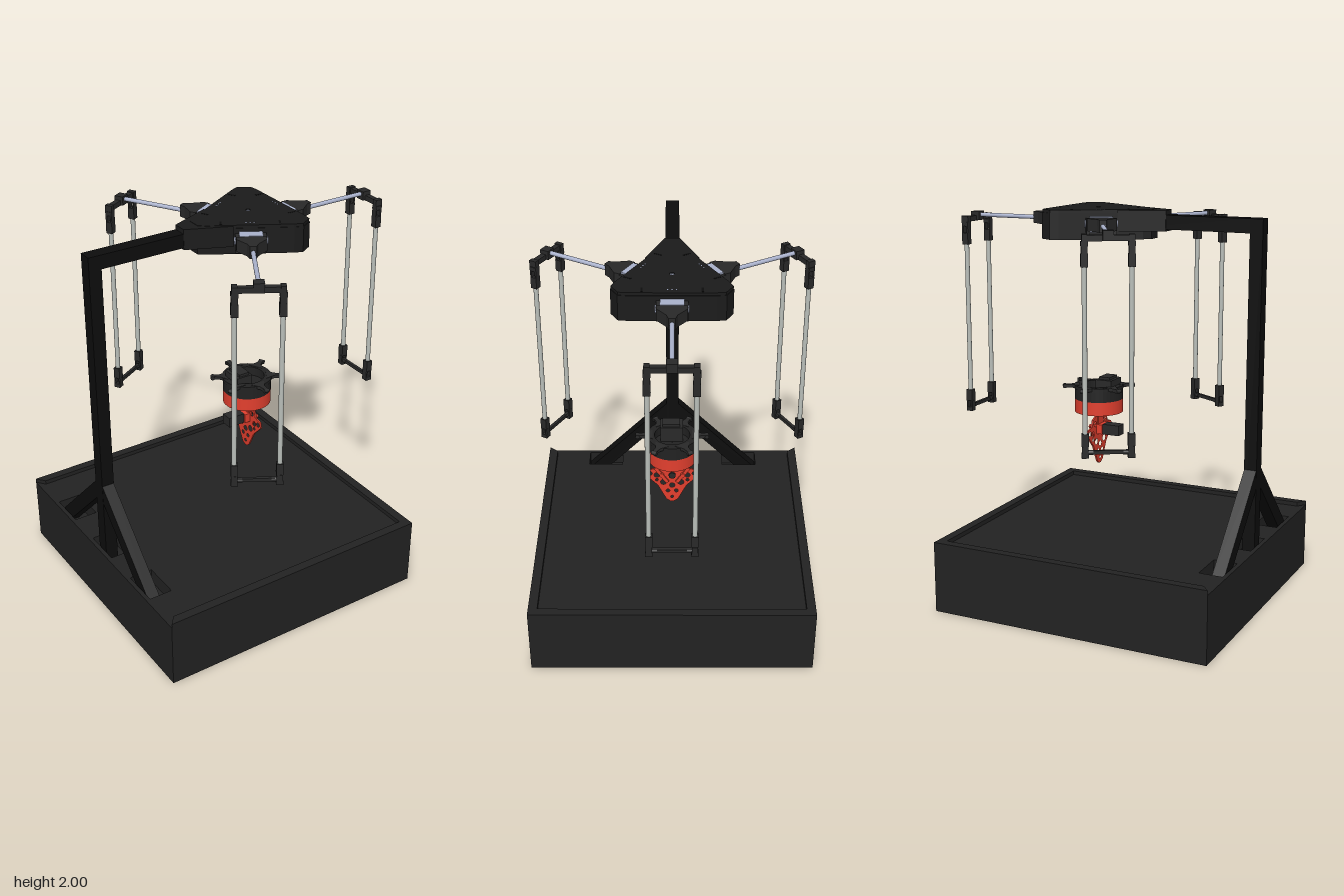
import * as THREE from 'three';

const mat = (color) => new THREE.MeshStandardMaterial({ color });
const M = {
  base: mat(0x222222), frame: mat(0x0d0d0d), hub: mat(0x1b1b1b), fitting: mat(0x292929),
  metal: mat(0xaab2cc), rod: mat(0xb9beb9), red: mat(0xe23f2e),
};
const CX = 0.085; // vertical axis of the robot

function add(parent, name, geo, material, x = 0, y = 0, z = 0) {
  const m = new THREE.Mesh(geo, material);
  m.name = name;
  m.position.set(x, y, z);
  parent.add(m);
  return m;
}
// box given by its limits
const box = (p, name, material, [x0, x1], [y0, y1], [z0, z1]) =>
  add(p, name, new THREE.BoxGeometry(x1 - x0, y1 - y0, z1 - z0), material,
    (x0 + x1) / 2, (y0 + y1) / 2, (z0 + z1) / 2);

const cyl = (p, name, material, r, h, x, y, z, axis = 'y', r2 = r, n = 20) => {
  const g = new THREE.CylinderGeometry(r2, r, h, n);
  if (axis === 'x') g.rotateZ(-Math.PI / 2);
  if (axis === 'z') g.rotateX(Math.PI / 2);
  return add(p, name, g, material, x, y, z);
};
const toShape = (pts) => new THREE.Shape(pts.map(([a, b]) => new THREE.Vector2(a, b)));
const circle = (a, b, r) => new THREE.Path().absarc(a, b, r, 0, Math.PI * 2, true);
const rect = (a0, a1, b0, b1) => [[a0, b0], [a1, b0], [a1, b1], [a0, b1]];

// horizontal slab from an outline in x / z
function slab(p, name, material, pts, y0, y1, holes = []) {
  const s = toShape(pts);
  s.holes.push(...holes);
  const g = new THREE.ExtrudeGeometry(s, { depth: y1 - y0, bevelEnabled: false, curveSegments: 10 });
  return add(p, name, g.rotateX(-Math.PI / 2), material, 0, y0, 0);
}

function makeBase() {
  const g = new THREE.Group();
  g.name = 'base';
  box(g, 'baseBlock', M.base, [-0.827, 0.645], [0, 0.27], [-0.732, 0.732]);
  // floor with three sockets for the frame legs
  const sockets = [[-0.49, -0.295], [-0.1, 0.1], [0.295, 0.49]]
    .map(([a, b]) => new THREE.Path(toShape(rect(-0.805, -0.685, a, b)).getPoints().reverse()));
  slab(g, 'baseFloor', M.base, rect(-0.827, 0.645, -0.732, 0.732), 0.27, 0.345, sockets);
  // rim on three sides
  slab(g, 'baseRim', M.base, [[-0.827, -0.732], [0.645, -0.732], [0.645, 0.732], [-0.827, 0.732],
    [-0.79, 0.685], [0.598, 0.685], [0.598, -0.685], [-0.79, -0.685]], 0.345, 0.367);
  return g;
}

function makeFrame() {
  const g = new THREE.Group();
  g.name = 'frame';
  box(g, 'post', M.frame, [-0.8, -0.735], [0.27, 1.975], [-0.035, 0.035]);
  box(g, 'topBeam', M.frame, [-0.735, -0.1], [1.905, 1.975], [-0.035, 0.035]);
  // diagonal braces, cut vertical at the post and at the foot
  for (const s of [-1, 1]) {
    const pts = [[0, 0.775], [0.49, 0.285], [0.46, 0.272], [0.4, 0.272], [0, 0.672]].map(([z, y]) => [s * z, y]);
    const geo = new THREE.ExtrudeGeometry(toShape(pts), { depth: 0.063, bevelEnabled: false });
    add(g, 'brace', geo.rotateY(Math.PI / 2), M.frame, -0.799, 0, 0);
  }
  return g;
}

function makeHub() {
  const g = new THREE.Group();
  g.name = 'hub';
  const pts = [];
  for (let k = 0; k < 3; k++) {
    const a = Math.PI / 3 + (k * Math.PI * 2) / 3;
    for (const [r, t] of [[0.275, -0.062], [0.31, -0.035], [0.31, 0.035], [0.275, 0.062]])
      pts.push([r * Math.cos(a) - t * Math.sin(a), r * Math.sin(a) + t * Math.cos(a)]);
  }
  slab(g, 'hubBody', M.hub, pts, 1.855, 1.985, [circle(0, 0, 0.04)]);
  slab(g, 'hubLid', M.hub, pts.map(([x, z]) => [x * 0.99, z * 0.99]), 1.985, 2, [circle(0, 0, 0.012)]);
  cyl(g, 'centreBolt', M.metal, 0.011, 0.006, 0, 1.993, 0);
  // tapered clamp that holds the beam
  slab(g, 'beamClamp', M.hub, [[-0.385, -0.036], [-0.17, -0.13], [-0.17, 0.13], [-0.385, 0.036]], 1.895, 1.998);
  // screw slots near each side
  for (let k = 0; k < 3; k++) {
    const side = new THREE.Group();
    side.name = 'lidSlots';
    side.rotation.y = (k * Math.PI * 2) / 3;
    for (const z of [-0.14, 0.14]) box(side, 'slot', M.frame, [0.14, 0.18], [1.995, 2.001], [z - 0.005, z + 0.005]);
    for (const z of [-0.02, 0, 0.02]) cyl(side, 'screw', M.metal, 0.004, 0.003, 0.16, 2, z, 'y', 0.004, 8);
    g.add(side);
  }
  return g;
}

// fork that joins a rod to a crossbar; up = 1 opens upward
function makeFork(x, y, z, up) {
  const g = new THREE.Group();
  g.name = 'fork';
  g.position.set(x, y, z);
  g.scale.y = 1;
  if (up < 0) g.rotation.x = Math.PI;
  box(g, 'forkSocket', M.fitting, [-0.017, 0.017], [-0.06, 0], [-0.017, 0.017]);
  for (const s of [-1, 1]) box(g, 'forkCheek', M.fitting, [s * 0.0135 - 0.004, s * 0.0135 + 0.004], [0, 0.055], [-0.015, 0.015]);
  box(g, 'forkTip', M.fitting, [-0.017, 0.017], [0.035, 0.056], [-0.017, 0.017]);
  return g;
}

function makeArm() {
  const g = new THREE.Group();
  g.name = 'arm';
  const R = 0.716;
  // servo and horn
  box(g, 'servo', M.metal, [0.19, 0.248], [1.895, 1.968], [-0.056, 0.056]);
  for (const s of [-1, 1]) {
    box(g, 'servoBracket', M.fitting, [0.17, 0.252], [1.885, 1.96], [s * 0.065 - 0.009, s * 0.065 + 0.009]);
    cyl(g, 'servoPivot', M.metal, 0.018, 0.008, 0.222, 1.935, s * 0.076, 'z');
  }
  slab(g, 'servoHorn', M.fitting, [[0.248, -0.072], [0.278, -0.072], [0.335, -0.026], [0.365, -0.016],
    [0.365, 0.016], [0.335, 0.026], [0.278, 0.072], [0.248, 0.072]], 1.905, 1.966);
  cyl(g, 'upperRod', M.metal, 0.011, 0.36, 0.53, 1.935, 0, 'x');
  // crossbar at the elbow
  box(g, 'elbowSocket', M.fitting, [0.69, 0.737], [1.907, 1.953], [-0.025, 0.025]);
  box(g, 'elbowBar', M.fitting, [0.704, 0.732], [1.905, 1.932], [-0.1, 0.1]);
  for (const s of [-1, 1]) {
    const z = s * 0.108;
    box(g, 'elbowEnd', M.fitting, [0.698, 0.736], [1.9, 1.936], [z - 0.013, z + 0.013]);
    // long parallel rods with a fork at each end
    cyl(g, 'lowerRod', M.rod, 0.012, 0.8, R, 1.4, z);
    g.add(makeFork(R, 1.848, z, 1), makeFork(R, 0.951, z, -1));
    cyl(g, 'lowerPin', M.fitting, 0.012, 0.03, R, 0.92, s * 0.085, 'z');
  }
  box(g, 'lowerBar', M.fitting, [R - 0.008, R + 0.008], [0.912, 0.93], [-0.1, 0.1]);
  return g;
}

function makeTool() {
  const g = new THREE.Group();
  g.name = 'tool';
  // hollow round housing: black on top, red below
  const ring = [[0.001, 1.04], [0.09, 1.04], [0.09, 1.088], [0.128, 1.088], [0.128, 1.07], [0.125, 1.07], [0.125, 1.015], [0.001, 1.015]];
  const lathe = new THREE.LatheGeometry(ring.map(([r, y]) => new THREE.Vector2(r, y)).reverse(), 40);
  add(g, 'housing', lathe.toNonIndexed(), new THREE.MeshStandardMaterial({ color: 0x222222, side: THREE.DoubleSide, flatShading: true }));
  cyl(g, 'redRing', M.red, 0.125, 0.07, 0, 0.98, 0, 'y', 0.125, 40);
  // six joint prongs around the plate
  for (let k = 0; k < 6; k++) {
    const p = new THREE.Group();
    p.name = 'prong';
    p.rotation.y = Math.PI / 6 + (k * Math.PI) / 3;
    slab(p, 'prongBar', M.fitting, [[0.1, -0.04], [0.14, -0.014], [0.18, -0.009], [0.18, 0.009], [0.14, 0.014], [0.1, 0.04]], 1.073, 1.09);
    cyl(p, 'prongEnd', M.fitting, 0.011, 0.028, 0.177, 1.081, 0, 'z', 0.011, 12);
    g.add(p);
  }
  box(g, 'toolServo', M.fitting, [-0.097, -0.008], [1.04, 1.122], [-0.055, 0.06]);
  box(g, 'toolServoCap', M.fitting, [-0.08, -0.02], [1.122, 1.135], [-0.04, 0.05]);
  // wrist
  cyl(g, 'wristCollar', M.red, 0.012, 0.04, 0, 0.93, 0, 'y', 0.02);
  box(g, 'wristBlock', M.red, [-0.036, 0.008], [0.83, 0.88], [-0.04, 0.04]);
  box(g, 'wristBracket', M.red, [-0.012, 0.012], [0.86, 0.925], [-0.03, 0.03]);
  box(g, 'gripMotor', M.fitting, [-0.128, -0.036], [0.828, 0.882], [-0.03, 0.03]);
  // pierced gripper plate
  const half = [[0.045, 0.925], [0.078, 0.91], [0.09, 0.875], [0.132, 0.865], [0.138, 0.835], [0.105, 0.8], [0.075, 0.77], [0.03, 0.68], [0.01, 0.666]];
  const plate = toShape([...half, ...half.map(([z, y]) => [-z, y]).reverse()]);
  for (const s of [-1, 1]) for (const [z, y, r] of [[0.115, 0.845, 0.012], [0.08, 0.835, 0.014], [0.055, 0.885, 0.014],
    [0.045, 0.79, 0.016], [0.022, 0.735, 0.01], [0.08, 0.805, 0.008], [0.02, 0.9, 0.01]]) plate.holes.push(circle(s * z, y, r));
  plate.holes.push(circle(0, 0.695, 0.008), circle(0, 0.77, 0.014));
  const pg = new THREE.ExtrudeGeometry(plate, { depth: 0.009, bevelEnabled: false, curveSegments: 6 });
  add(g, 'gripPlate', pg.rotateY(Math.PI / 2), M.red, -0.006, 0, 0);
  for (const s of [-1, 1]) {
    const link = box(g, 'gripLink', M.red, [0.004, 0.014], [0.785, 0.895], [s * 0.055 - 0.009, s * 0.055 + 0.009]);
    link.rotation.x = s * 0.6;
    cyl(g, 'gripPivot', M.red, 0.012, 0.02, 0.006, 0.84, s * 0.055, 'x');
  }
  cyl(g, 'gripShaft', M.fitting, 0.018, 0.016, 0.01, 0.84, 0, 'x');
  return g;
}

export function createModel() {
  const model = new THREE.Group();
  model.name = 'deltaRobot';
  const robot = new THREE.Group();
  robot.name = 'robot';
  robot.position.x = CX;
  robot.add(makeHub(), makeTool());
  for (let k = 0; k < 3; k++) {
    const arm = makeArm();
    arm.rotation.y = (k * Math.PI * 2) / 3;
    robot.add(arm);
  }
  model.add(makeBase(), makeFrame(), robot);
  return model;
}
